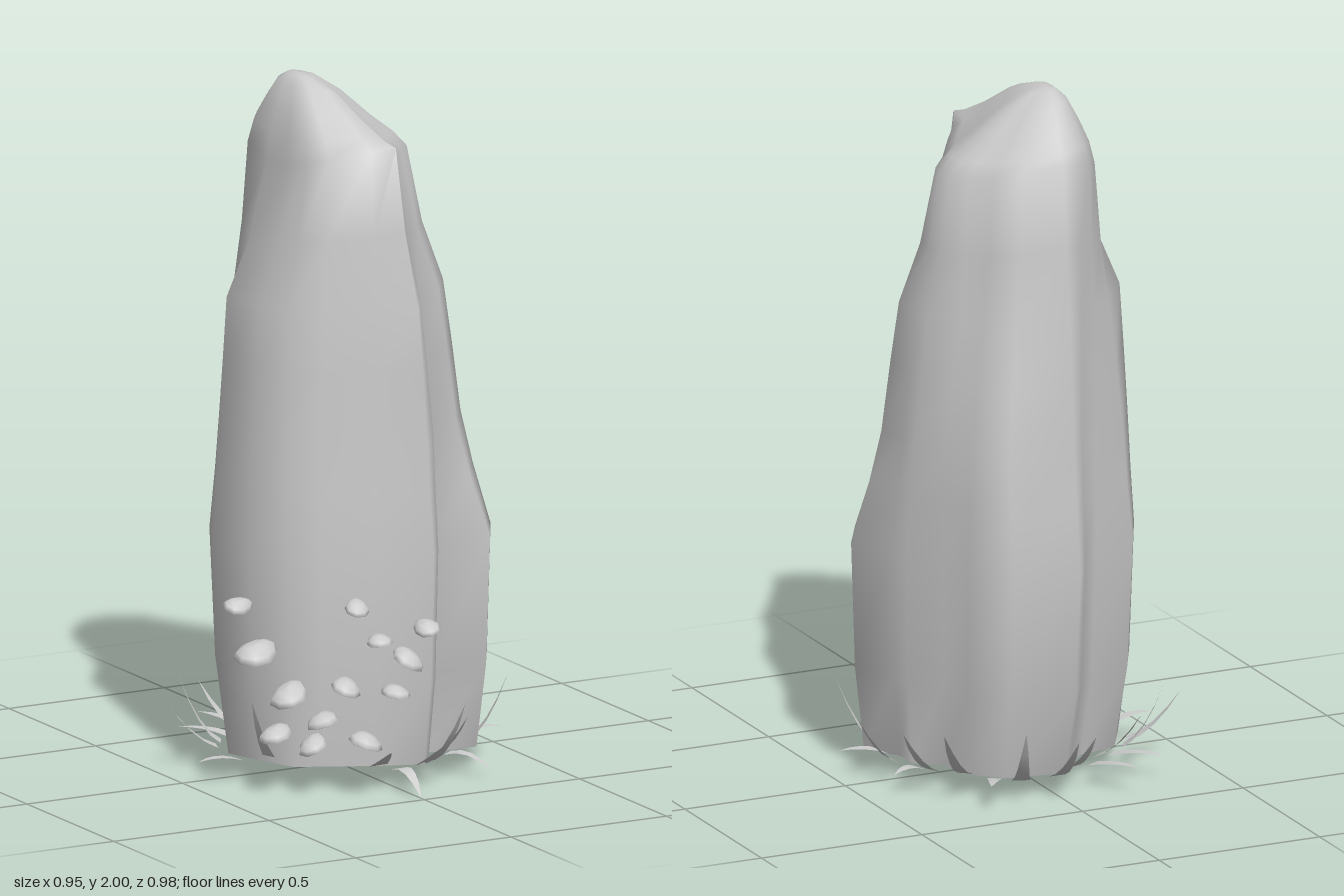
import * as THREE from 'three';
import { toCreasedNormals } from 'three/addons/utils/BufferGeometryUtils.js';

// Plan outlines [x, z], clockwise from the front ridge
const MID = [[.09, .395], [-.06, .335], [-.2, .265], [-.285, .225], [-.34, .1], [-.38, -.04], [-.29, -.22], [-.16, -.25], [-.09, -.33],
  [-.03, -.425], [.16, -.385], [.25, -.28], [.27, -.15], [.35, -.08], [.35, .01], [.42, .13], [.34, .27], [.17, .265], [.14, .33]];
const WAIST = [[.08, .375], [-.06, .325], [-.195, .26], [-.285, .22], [-.33, .1], [-.36, -.04], [-.27, -.2], [-.16, -.25], [-.09, -.31],
  [-.03, -.385], [.16, -.36], [.24, -.28], [.26, -.16], [.33, -.09], [.32, 0], [.345, .09], [.26, .22], [.16, .26], [.13, .32]];
const SHOULDER = [[.06, .36], [-.05, .32], [-.19, .26], [-.27, .2], [-.3, .09], [-.335, -.04], [-.24, -.17], [-.165, -.235], [-.1, -.28],
  [-.04, -.34], [.12, -.315], [.18, -.23], [.22, -.16], [.28, -.08], [.28, 0], [.3, .07], [.23, .17], [.13, .24], [.1, .3]];
const TOP = [[.02, .3], [-.05, .285], [-.16, .24], [-.2, .175], [-.205, .08], [-.215, -.02], [-.2, -.16], [-.155, -.22], [-.1, -.27],
  [-.04, -.295], [.08, -.27], [.13, -.19], [.175, -.12], [.21, -.07], [.21, 0], [.2, .04], [.15, .1], [.09, .19], [.05, .24]];
const BASE = MID.map(([x, z]) => [x * (x < 0 ? .88 : .92), z * (z < 0 ? .78 : .89)]);

// Strips joining the stacked outlines of the standing stone, open underneath
function stoneGeometry() {
  const n = MID.length, pos = [], index = [];
  // dome raises the front and back; slope lowers the left shoulder
  const ring = (a, b, t, y, dome = 0, slope = 0) => a.forEach(([x, z], i) => {
    const px = x + (b[i][0] - x) * t, pz = z + (b[i][1] - z) * t;
    pos.push(px, y + dome * (pz / .3) ** 2 - slope * Math.max(0, px + .1), pz);
  });
  const peak = TOP.map(() => [-.1, -.06]);
  ring(BASE, MID, 0, .06);
  ring(BASE, MID, .7, .3);
  ring(BASE, MID, 1, .67);
  ring(MID, WAIST, .6, .85);
  ring(MID, WAIST, 1, 1);
  ring(WAIST, SHOULDER, .5, 1.2);
  ring(WAIST, SHOULDER, 1, 1.38);
  ring(SHOULDER, TOP, .58, 1.55, .04);
  ring(SHOULDER, TOP, 1, 1.77, .07);
  ring(TOP, peak, .12, 1.845, .03, .12);
  ring(TOP, peak, .33, 1.91, .01, .22);
  ring(TOP, peak, .6, 1.975, 0, .27);
  ring(TOP, peak, .83, 1.997, 0, .15);
  const rings = pos.length / 3 / n;
  const tip = rings * n, last = tip - n;
  pos.push(-.1, 2, -.06);
  for (let i = 0; i < n; i++) {
    const j = (i + 1) % n;
    for (let r = 0; r < rings - 1; r++) {
      const a = r * n + i, b = r * n + j;
      index.push(a, a + n, b, b, a + n, b + n);
    }
    index.push(tip, last + j, last + i);
  }
  const g = new THREE.BufferGeometry();
  g.setAttribute('position', new THREE.Float32BufferAttribute(pos, 3));
  g.setIndex(index);
  return toCreasedNormals(g, 1.4);
}

// Tapered blade curving outward from the foot of the stone to its tip
function bladeGeometry(x, y, z, length) {
  const r = Math.hypot(x, z), dx = x / r, dz = z / r, pos = [], index = [];
  const steps = 4;
  for (let i = 0; i <= steps; i++) {
    const t = i / steps, d = r - length * (1 - t), w = .026 * (1 - t) ** .7;
    const h = .06 + (y - .06) * t * t + .05 * t * (1 - t);
    pos.push(dx * d - dz * w, h, dz * d + dx * w, dx * d + dz * w, h, dz * d - dx * w);
    if (i < steps) {
      const a = i * 2;
      index.push(a, a + 1, a + 2, a + 1, a + 3, a + 2);
    }
  }
  const g = new THREE.BufferGeometry();
  g.setAttribute('position', new THREE.Float32BufferAttribute(pos, 3));
  g.setIndex(index);
  g.computeVertexNormals();
  return g;
}

// Domed cap with a nearly flat underside, widening away from the stone
function capGeometry() {
  const g = new THREE.SphereGeometry(1, 9, 6), p = g.attributes.position;
  for (let i = 0; i < p.count; i++) {
    const y = p.getY(i);
    p.setX(i, p.getX(i) * (1 + .25 * p.getZ(i)));
    p.setY(i, y < 0 ? y * .2 : y);
  }
  g.computeVertexNormals();
  return g;
}

export function createModel() {
  const model = new THREE.Group();
  model.name = 'standingStone';
  const grey = new THREE.MeshStandardMaterial({ color: 0xcccccc, side: THREE.DoubleSide });
  grey.name = 'stone grey';

  const stone = new THREE.Mesh(stoneGeometry(), grey);
  stone.name = 'stone';
  model.add(stone);

  // Grass tips: x, y, z, blade length
  const grass = new THREE.Group();
  grass.name = 'grass';
  [[.005, .2, -.49, .15], [.16, .24, -.47, .14], [.24, .08, -.41, .14], [.35, .22, -.33, .17], [.42, .2, -.21, .14],
    [.415, .06, -.14, .1], [.475, .2, -.03, .12], [.475, .07, .1, .14], [.43, .25, .21, .12], [.29, .02, .375, .14],
    [.23, .18, .34, .1], [.155, .25, .46, .14], [.1, .12, .42, .08], [0, .0, .485, .13], [-.05, .12, .4, .1],
    [-.48, .07, .055, .14], [-.46, .2, -.175, .15], [-.385, .25, -.23, .12], [-.335, .07, -.335, .16],
    [-.265, .2, -.33, .14], [-.21, .08, -.435, .17], [-.1, .17, -.38, .1], [-.36, .25, .15, .1]
  ].forEach(([x, y, z, len]) => {
    const blade = new THREE.Mesh(bladeGeometry(x, y, z, len), grey);
    blade.name = 'grassBlade';
    grass.add(blade);
  });
  model.add(grass);

  // Shelf fungus caps: x, y, z, half width
  const fungi = new THREE.Group();
  fungi.name = 'shelfFungi';
  const capShape = capGeometry();
  [[-.38, .52, .11, .042], [-.37, .4, .2, .064], [-.31, .29, .28, .058], [-.22, .21, .31, .05], [-.17, .31, .35, .047],
    [-.14, .54, .36, .038], [-.09, .445, .4, .04], [.045, .475, .43, .04], [-.015, .39, .425, .05], [-.04, .29, .4, .045],
    [-.33, .17, .24, .05], [-.24, .14, .29, .045], [-.12, .15, .37, .054]
  ].forEach(([x, y, z, s], i) => {
    const cap = new THREE.Mesh(capShape, grey);
    cap.name = 'fungusCap';
    cap.position.set(x, y, z);
    cap.rotation.set(.1 + .15 * (i % 3), Math.atan2(x, z), .2 * ((i % 4) - 1.5), 'YXZ');
    cap.scale.set(s * .9, s * .55, s * 1.15);
    fungi.add(cap);
  });
  model.add(fungi);
  return model;
}
